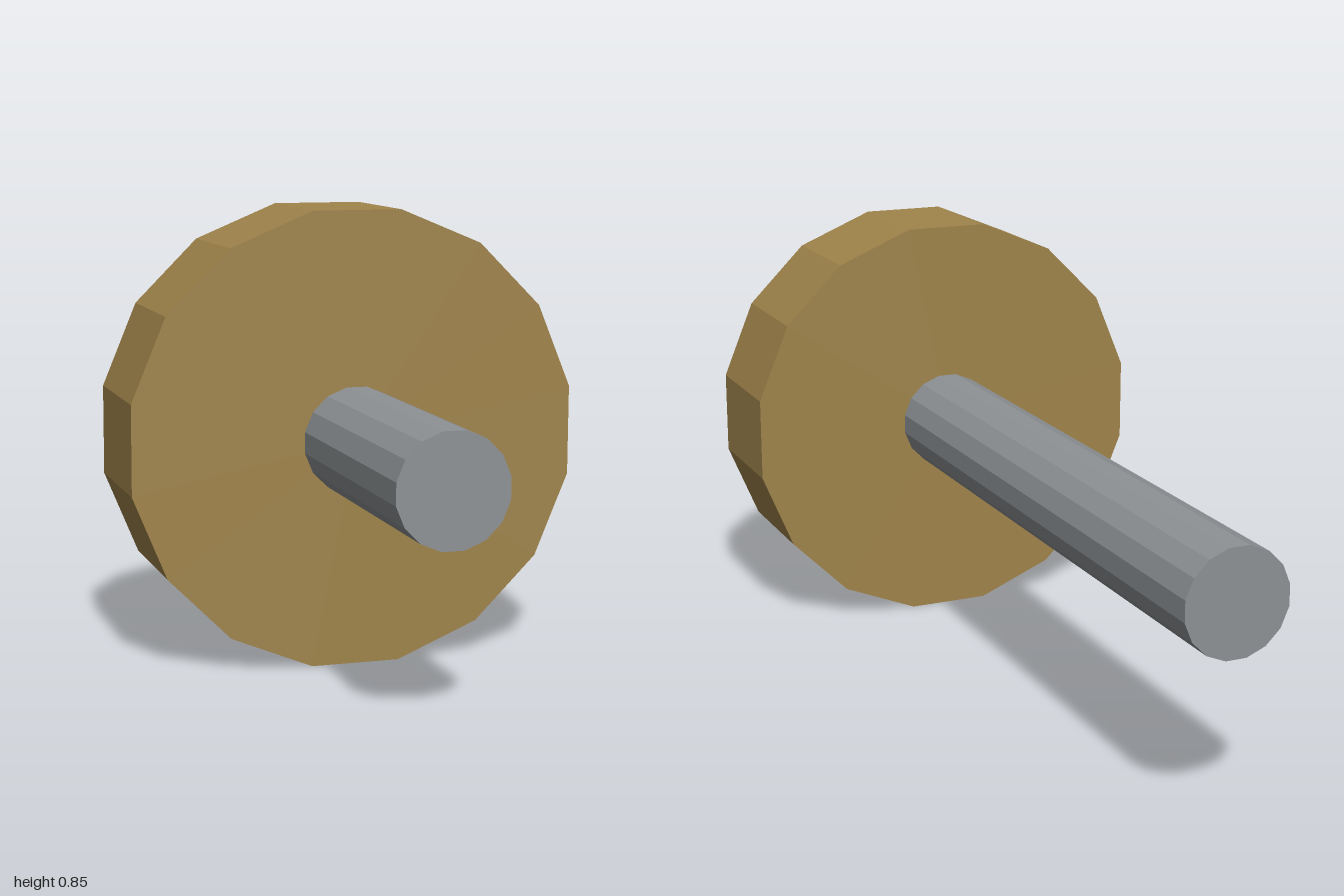
import * as THREE from 'three';

const SIDES = 16;
const AXIS_HEIGHT = 0.423;

// Faceted cylinder along z, with flats at top, bottom and sides
function disc(name, apothem, zBack, zFront, material) {
  const length = zFront - zBack;
  const radius = apothem / Math.cos(Math.PI / SIDES);
  const geometry = new THREE.CylinderGeometry(radius, radius, length, SIDES);
  geometry.rotateY(Math.PI / SIDES);
  geometry.rotateX(Math.PI / 2);
  const mesh = new THREE.Mesh(geometry, material);
  mesh.name = name;
  mesh.position.set(0, AXIS_HEIGHT, (zBack + zFront) / 2);
  return mesh;
}

export function createModel() {
  const wood = new THREE.MeshStandardMaterial({ color: 0xa0844b, flatShading: true });
  wood.name = 'wood brown';
  const steel = new THREE.MeshStandardMaterial({ color: 0x8e9295, flatShading: true });
  steel.name = 'steel grey';

  const model = new THREE.Group();
  model.name = 'wheelAndAxle';
  // Long axle running through the off-centre wheel
  model.add(disc('axle', 0.099, -1, 1, steel));
  model.add(disc('wheel', AXIS_HEIGHT, 0.25, 0.5, wood));
  return model;
}
